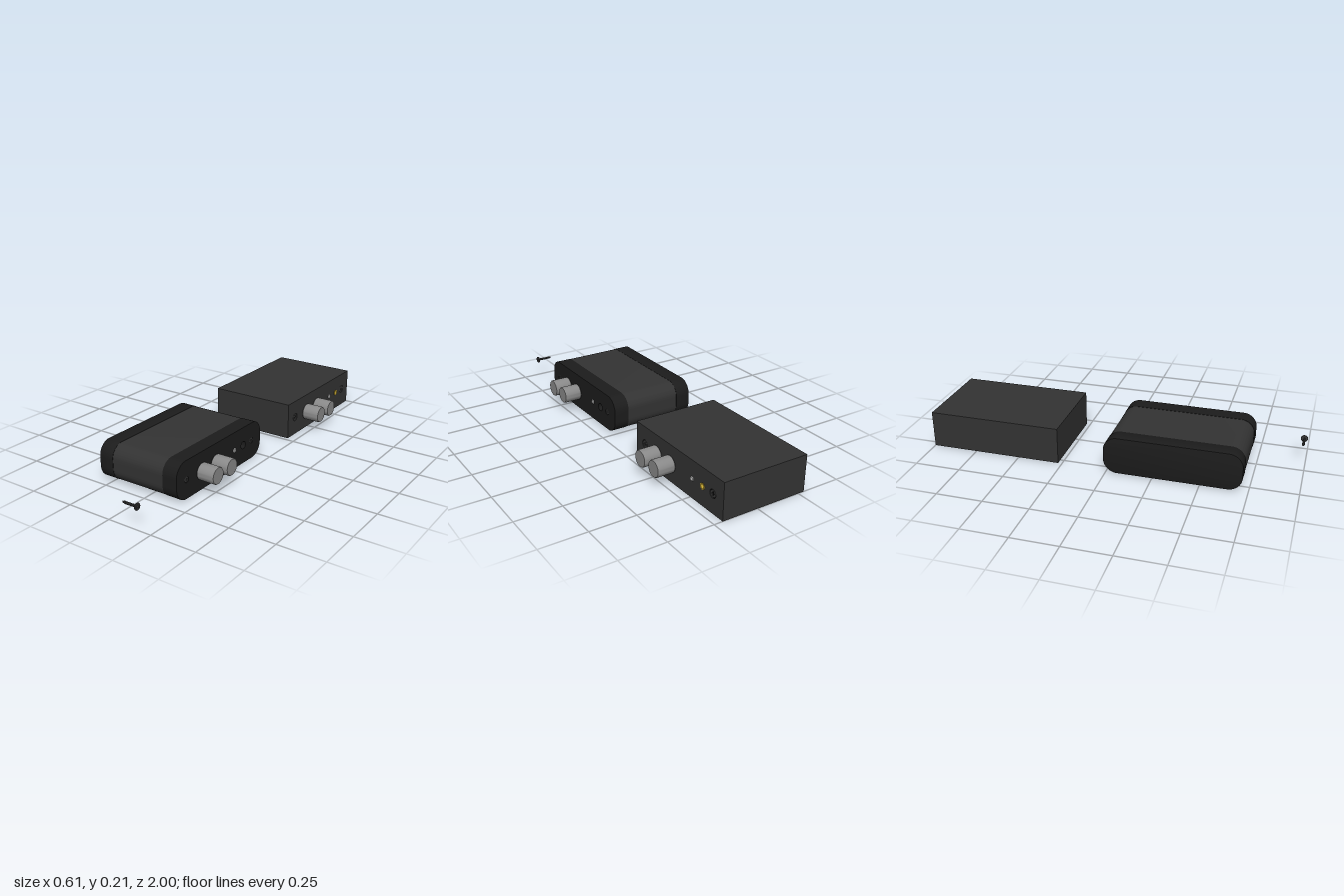
import * as THREE from 'three';
import { toCreasedNormals } from 'three/addons/utils/BufferGeometryUtils.js';

const mat = (color) => new THREE.MeshStandardMaterial({ color });
const shell = mat(0x333333), rubber = mat(0x1c1c1c), knobGrey = mat(0x888888);
const black = mat(0x0c0c0c), silver = mat(0xcccccc), gold = mat(0xc8a832), steel = mat(0x3a3a3a);

function add(parent, name, geometry, material, x = 0, y = 0, z = 0) {
  const mesh = new THREE.Mesh(geometry, material);
  mesh.name = name;
  mesh.position.set(x, y, z);
  parent.add(mesh);
  return mesh;
}

// Turned part along +x from [radius, distance] pairs
function turned(profile, segments = 40) {
  const g = new THREE.LatheGeometry(profile.map(([r, d]) => new THREE.Vector2(r, d)), segments);
  return toCreasedNormals(g.rotateZ(-Math.PI / 2), 0.6);
}

// Rounded rectangle lying in the z-y plane; shape x stands for -z
function plateShape(length, height, radius, holes = []) {
  const w = length / 2, h = height / 2, r = radius, s = new THREE.Shape();
  if (r > 0) {
    s.absarc(w - r, h - r, r, 0, Math.PI / 2);
    s.absarc(-w + r, h - r, r, Math.PI / 2, Math.PI);
    s.absarc(-w + r, -h + r, r, Math.PI, Math.PI * 1.5);
    s.absarc(w - r, -h + r, r, Math.PI * 1.5, Math.PI * 2);
  } else {
    s.moveTo(-w, -h).lineTo(w, -h).lineTo(w, h).lineTo(-w, h);
  }
  s.closePath();
  for (const { z, y, radius: hr } of holes) {
    s.holes.push(new THREE.Path().absarc(-z, y, hr, 0, Math.PI * 2, true));
  }
  return s;
}

function extrudeX(shape, depth, bevel = 0) {
  const g = new THREE.ExtrudeGeometry(shape, {
    depth: depth - 2 * bevel, curveSegments: 16, bevelEnabled: bevel > 0,
    bevelThickness: bevel, bevelSize: bevel, bevelOffset: -bevel, bevelSegments: 2,
  });
  return toCreasedNormals(g.translate(0, 0, bevel).rotateY(Math.PI / 2), 0.5);
}

// Round screw head with a cross-shaped recess, facing +x
function crossHead(radius) {
  const s = new THREE.Shape().absarc(0, 0, radius, 0, Math.PI * 2);
  const a = radius * 0.14, b = radius * 0.6;
  const cross = [[a, a], [a, b], [-a, b], [-a, a], [-b, a], [-b, -a], [-a, -a], [-a, -b], [a, -b], [a, -a], [b, -a], [b, a]];
  s.holes.push(new THREE.Path(cross.map(([x, y]) => new THREE.Vector2(x, y))));
  return extrudeX(s, 0.004);
}

// Controls on the panel at x = 0; z and y are relative to the panel centre
function addControls(parent, { knobs, led, socket, screws, screwRadius, y, ledOut }) {
  for (const z of knobs) {
    add(parent, 'knobShaft', turned([[0, -0.004], [0.014, -0.004], [0.014, 0.012], [0, 0.012]], 20), silver, 0, y, z);
    add(parent, 'knob', turned([[0, 0.006], [0.043, 0.006], [0.0455, 0.009], [0.0455, 0.1], [0.043, 0.104], [0, 0.104]]),
      knobGrey, 0, y, z);
  }
  add(parent, 'indicatorLight', turned([[0.0125, -0.01], [0.0125, ledOut - 0.004], [0.009, ledOut - 0.001], [0, ledOut]], 24),
    silver, 0, y, led);
  add(parent, 'socketFloor', turned([[0, -0.05], [0.024, -0.05], [0.024, -0.045], [0, -0.045]], 24), black, 0, y, socket);
  for (const z of screws) {
    add(parent, 'screwHead', crossHead(screwRadius * 0.85), steel, -0.005, y, z);
    add(parent, 'screwRecess', turned([[0, -0.008], [screwRadius, -0.008], [screwRadius, -0.004], [0, -0.004]], 24), black, 0, y, z);
  }
}

// Rounded case with a dark cap on each end
function roundedUnit() {
  const g = new THREE.Group();
  g.name = 'roundedUnit';
  g.position.set(0, 0.106, 0.353);
  const holes = [
    { z: -0.203, y: 0.001, radius: 0.021 },
    { z: 0.287, y: 0.001, radius: 0.016 },
    { z: -0.278, y: 0.001, radius: 0.016 },
  ];
  add(g, 'caseSleeve', extrudeX(plateShape(0.726, 0.201, 0.073), 0.326), shell, -0.228);
  add(g, 'backCap', extrudeX(plateShape(0.73, 0.204, 0.075), 0.085, 0.002), rubber, -0.308);
  add(g, 'frontCap', extrudeX(plateShape(0.73, 0.204, 0.075, holes), 0.085), rubber, 0.093);
  const controls = new THREE.Group();
  controls.name = 'roundedUnitControls';
  controls.position.x = 0.178;
  addControls(controls, {
    knobs: [0.17, 0.052], led: -0.12, socket: -0.203, screws: [0.287, -0.278], screwRadius: 0.017, y: 0.002, ledOut: 0.006,
  });
  g.add(controls);
  return g;
}

// Plain box case with a drilled panel
function boxUnit() {
  const g = new THREE.Group();
  g.name = 'boxUnit';
  g.position.set(0, 0.101, -0.636);
  const holes = [-0.206, 0.286, -0.284].map((z, i) => ({ z, y: 0.003, radius: i ? 0.023 : 0.014 }));
  add(g, 'boxCase', new THREE.BoxGeometry(0.437, 0.202, 0.728), shell, -0.0665);
  add(g, 'boxPanel', extrudeX(plateShape(0.728, 0.202, 0, holes), 0.05), shell, 0.152);
  const controls = new THREE.Group();
  controls.name = 'boxUnitControls';
  controls.position.x = 0.202;
  addControls(controls, {
    knobs: [0.168, 0.049], led: -0.124, socket: -0.206, screws: [0.286, -0.284], screwRadius: 0.023, y: 0.003, ledOut: 0.004,
  });
  add(controls, 'socketRing', turned([[0.012, -0.04], [0.017, -0.04], [0.017, 0.002], [0.012, 0.002], [0.012, -0.04]], 28),
    gold, 0, 0.003, -0.206);
  g.add(controls);
  return g;
}

// Loose screw with a helical thread, its tip pointing to -x
function looseScrew() {
  const g = new THREE.Group();
  g.name = 'looseScrew';
  g.position.set(0, 0.108, 0.98);
  add(g, 'screwShank', turned([[0, 0.073], [0.004, 0.078], [0.0052, 0.084], [0.0052, 0.161]], 16), steel);
  add(g, 'screwFlange', turned([[0, 0.158], [0.018, 0.158], [0.0195, 0.16], [0.0185, 0.163], [0.015, 0.1645], [0, 0.1645]], 28), steel);
  add(g, 'screwTop', crossHead(0.0135), steel, 0.163);
  const turns = 9, points = [];
  for (let i = 0; i <= turns * 12; i++) {
    const t = i / (turns * 12), a = t * turns * Math.PI * 2;
    const r = 0.0058 * Math.min(1, 0.6 + t * 4);
    points.push(new THREE.Vector3(0.077 + t * 0.077, r * Math.cos(a), r * Math.sin(a)));
  }
  add(g, 'screwThread', new THREE.TubeGeometry(new THREE.CatmullRomCurve3(points), turns * 16, 0.0018, 5), steel);
  return g;
}

export function createModel() {
  const model = new THREE.Group();
  model.name = 'boxedControllersAndScrew';
  model.add(roundedUnit(), boxUnit(), looseScrew());
  return model;
}
